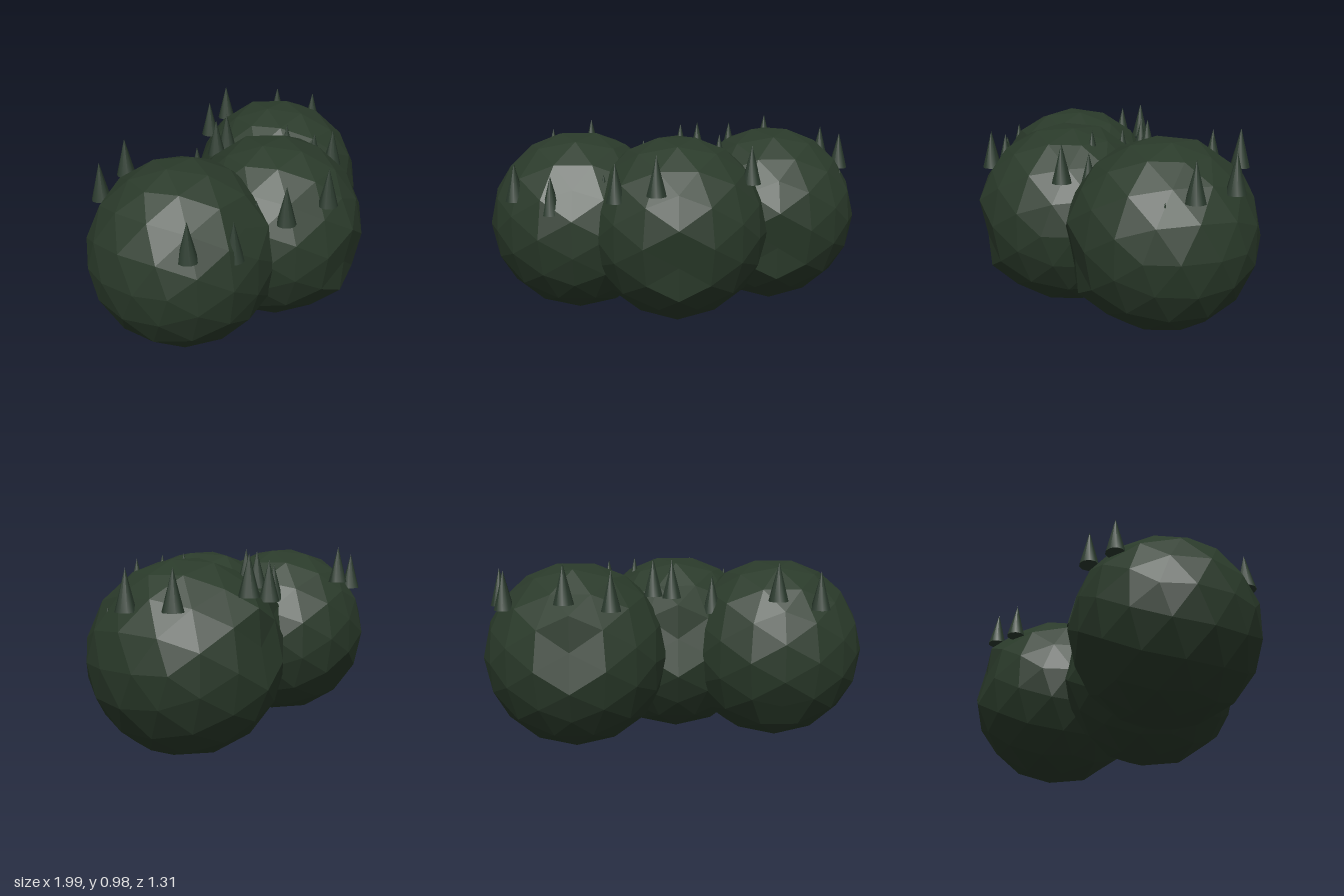
import * as THREE from 'three';

export function createModel() {
  const group = new THREE.Group();
  const foliage = new THREE.MeshStandardMaterial({ color: 0x2a3a2a, flatShading: true });
  foliage.name = 'dark green foliage';
  const spikeGreen = new THREE.MeshStandardMaterial({ color: 0x2b3b2e });
  spikeGreen.name = 'spike green';

  // Bumps are [x, y, z, factor]: the corner in that direction, and the one
  // opposite to it, move in or out by the factor
  const tallBumps = [
    [0, 0.202, 0.98, 1.03], [0, 0.526, 0.851, 1.01], [0, 0.73, 0.653, 1.02],
    [0, -0.202, 0.98, 0.945], [0, -0.526, 0.851, 1.055], [0, -0.73, 0.653, 0.925],
    [0, -0.934, 0.357, 1.02],
  ];
  const lowBumps = [
    [0, 0.202, 0.98, 0.98], [0, -0.202, 0.98, 0.98], [0, 0.526, 0.851, 0.94],
    [-0.851, 0.526, 0, 0.95], [0.851, 0.526, 0, 0.95],
  ];

  // Faceted clump with uneven corners
  function clump(name, x, z, bumps) {
    const geo = new THREE.IcosahedronGeometry(1, 2);
    const pos = geo.attributes.position;
    const v = new THREE.Vector3();
    const dir = new THREE.Vector3();
    for (let i = 0; i < pos.count; i++) {
      v.fromBufferAttribute(pos, i);
      const bump = bumps.find(([bx, by, bz]) => Math.abs(dir.set(bx, by, bz).dot(v)) > 0.99);
      v.multiplyScalar(0.482 * (bump ? bump[3] : 1));
      pos.setXYZ(i, v.x, v.y, v.z);
    }
    geo.computeVertexNormals();
    const mesh = new THREE.Mesh(geo, foliage);
    mesh.name = name;
    mesh.position.set(x, 0.47, z);
    group.add(mesh);
  }
  clump('rightClump', -0.525, -0.02, lowBumps);
  clump('middleClump', 0, 0.165, tallBumps);
  clump('leftClump', 0.525, -0.17, tallBumps);

  // Upright leaf spikes: x, tip height, z
  const spikes = [
    [-0.71, 0.92, -0.38], [-0.49, 0.97, -0.42], [-0.825, 0.83, 0.27], [-0.63, 0.785, 0.38],
    [-0.18, 0.88, -0.2], [0.03, 0.965, -0.235], [0.125, 0.975, -0.235], [0.225, 0.95, 0.1],
    [0.375, 0.92, 0.3], [-0.105, 0.915, 0.56], [-0.305, 0.86, 0.45], [-0.37, 0.78, 0.32],
    [0.33, 0.94, -0.52], [0.55, 0.98, -0.565], [0.86, 0.93, -0.39], [0.92, 0.92, -0.165],
    [0.4, 0.87, 0.17], [0.9, 0.735, -0.03],
  ];
  const height = 0.195;
  const cone = new THREE.ConeGeometry(0.05, height, 10);
  spikes.forEach(([x, tip, z], i) => {
    const mesh = new THREE.Mesh(cone, spikeGreen);
    mesh.name = `leafSpike${i + 1}`;
    mesh.position.set(x, tip - height / 2, z);
    group.add(mesh);
  });
  return group;
}
